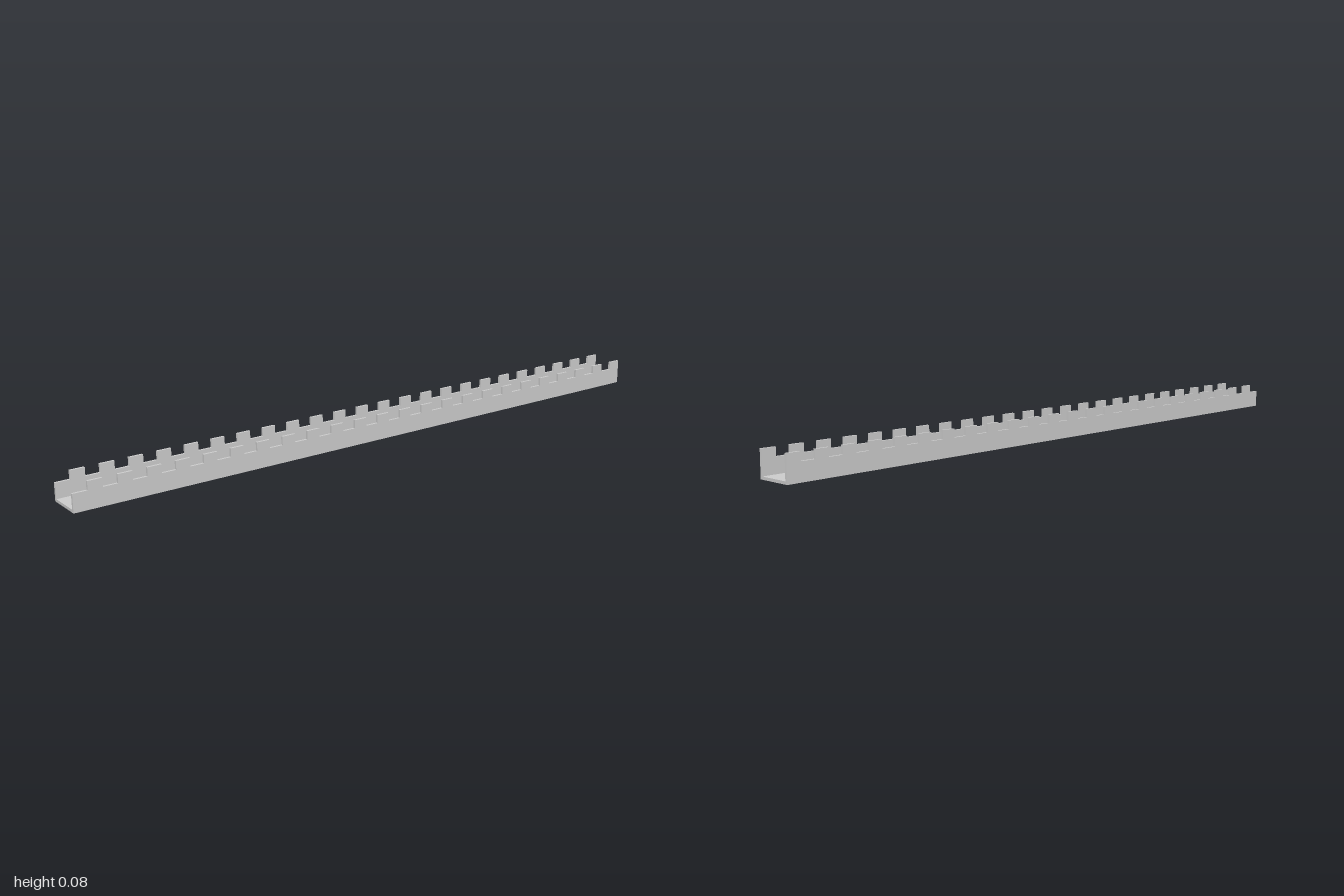
import * as THREE from 'three';

const LENGTH = 2, TEETH = 24, PITCH = LENGTH / TEETH;
const OUTER = 0.054, WALL = 0.007, FLOOR = 0.008;
const NOTCH_Y = 0.052, TOP_Y = 0.0765;

export function createModel() {
  const model = new THREE.Group();
  model.name = 'slottedChannel';
  const material = new THREE.MeshStandardMaterial({ color: 0xcccccc, flatShading: true });

  // Flat base between the walls
  const base = new THREE.Mesh(new THREE.BoxGeometry(2 * (OUTER - WALL), FLOOR, LENGTH), material);
  base.name = 'base';
  base.position.y = FLOOR / 2;
  model.add(base);

  // Side profile: each pitch is a notch followed by a tooth, from front to back
  const profile = new THREE.Shape();
  profile.moveTo(-LENGTH / 2, 0);
  profile.lineTo(LENGTH / 2, 0);
  for (let i = TEETH - 1; i >= 0; i--) {
    const start = -LENGTH / 2 + i * PITCH;
    profile.lineTo(start + PITCH, TOP_Y);
    profile.lineTo(start + PITCH / 2, TOP_Y);
    profile.lineTo(start + PITCH / 2, NOTCH_Y);
    profile.lineTo(start, NOTCH_Y);
  }
  profile.closePath();
  const wallGeometry = new THREE.ExtrudeGeometry(profile, { depth: WALL, bevelEnabled: false });
  wallGeometry.rotateY(Math.PI / 2); // profile x runs toward -z, thickness toward +x

  // Matching toothed walls on both sides
  for (const [name, x] of [['leftWall', OUTER - WALL], ['rightWall', -OUTER]]) {
    const wall = new THREE.Mesh(wallGeometry, material);
    wall.name = name;
    wall.position.x = x;
    model.add(wall);
  }
  return model;
}
